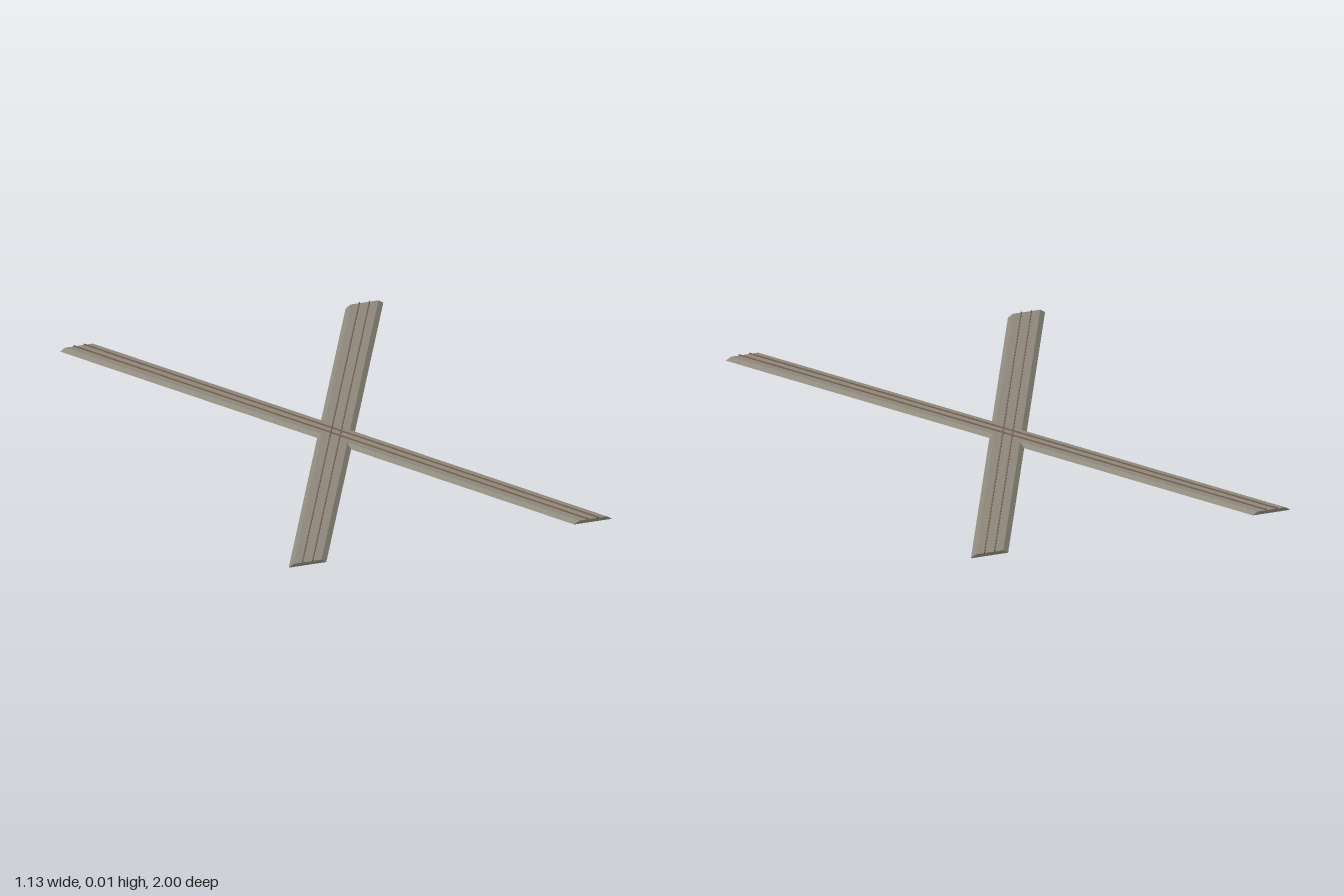
import * as THREE from 'three';

export function createModel() {
  const group = new THREE.Group();
  group.name = 'trackCrossing';

  const gravel = new THREE.MeshStandardMaterial({ color: 0x8f8a7c });
  gravel.name = 'gravel grey';
  const steel = new THREE.MeshStandardMaterial({ color: 0x7a6554 });
  steel.name = 'rusty rail brown';

  // Extrude a cross-section along z, then shear it so the ends stay square to z
  function strip(points, slope, material, name) {
    const shape = new THREE.Shape(points.map(([x, y]) => new THREE.Vector2(x, y)));
    const geo = new THREE.ExtrudeGeometry(shape, { depth: 2, bevelEnabled: false });
    geo.translate(0, 0, -1);
    const pos = geo.attributes.position;
    for (let i = 0; i < pos.count; i++) pos.setX(i, pos.getX(i) + slope * pos.getZ(i));
    geo.computeVertexNormals();
    const mesh = new THREE.Mesh(geo, material);
    mesh.name = name;
    return mesh;
  }

  // Sloped-shoulder track bed
  const bed = [[-0.066, 0], [0.066, 0], [0.049, 0.011], [-0.049, 0.011]];
  // Slim rail, centred on x
  const railAt = (x) => [
    [x - 0.002, 0.0105], [x + 0.002, 0.0105], [x + 0.002, 0.015], [x - 0.002, 0.015],
  ];

  // Two tracks crossing in an X
  for (const [slope, side] of [[0.5, 'left'], [-0.5, 'right']]) {
    const track = new THREE.Group();
    track.name = `${side}Track`;
    track.add(strip(bed, slope, gravel, 'trackBed'));
    track.add(strip(railAt(0.018), slope, steel, 'leftRail'));
    track.add(strip(railAt(-0.018), slope, steel, 'rightRail'));
    group.add(track);
  }
  return group;
}
